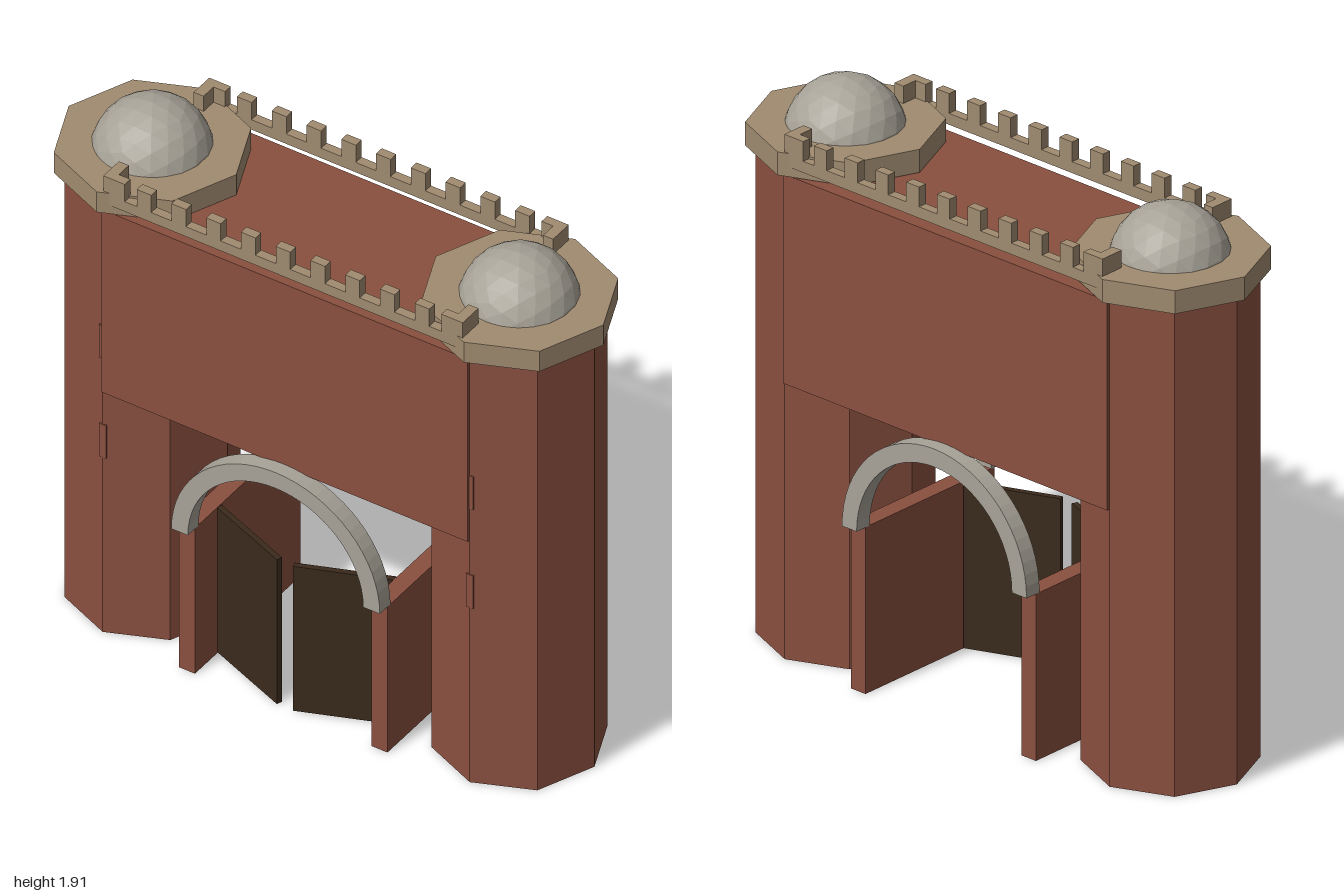
import * as THREE from 'three';

const mat = (color) => new THREE.MeshStandardMaterial({ color, flatShading: true });

export function createModel() {
  const brick = mat(0x8a5040);
  const trim = mat(0xa08b70);
  const stone = mat(0xa8a398);
  const wood = mat(0x3a2a1c);
  const root = new THREE.Group();

  const add = (name, geometry, material, x, y, z, parent = root) => {
    const mesh = new THREE.Mesh(geometry, material);
    mesh.name = name;
    mesh.position.set(x, y, z);
    parent.add(mesh);
    return mesh;
  };
  // Box given by its lower and upper limits on each axis
  const box = (name, material, [x0, x1], [y0, y1], [z0, z1], parent = root) =>
    add(name, new THREE.BoxGeometry(Math.abs(x1 - x0), y1 - y0, Math.abs(z1 - z0)), material,
      (x0 + x1) / 2, (y0 + y1) / 2, (z0 + z1) / 2, parent);

  // Wall spanning the two towers above the gate
  box('gateWall', brick, [-0.685, 0.685], [0.955, 1.677], [-0.29, 0.29]);

  for (const s of [-1, 1]) {
    const side = s > 0 ? 'left' : 'right';

    // Octagonal tower with overhanging cap and dome
    const tower = new THREE.Group();
    tower.name = side + 'Tower';
    tower.position.x = s * 0.6865;
    root.add(tower);
    add('towerShaft', new THREE.CylinderGeometry(0.28, 0.28, 1.68, 8), brick, 0, 0.84, 0, tower);
    add('towerCap', new THREE.CylinderGeometry(0.3135, 0.3135, 0.08, 8), trim, 0, 1.72, 0, tower);
    add('towerDome', new THREE.IcosahedronGeometry(0.196, 3), stone, 0, 1.714, 0, tower);
    // Narrow slits on the front edge of the shaft
    for (const y of [0.755, 1.145]) {
      box('arrowSlit', brick, [-0.013, 0.013], [y - 0.065, y + 0.065], [0.265, 0.281], tower);
    }

    // Passage side wall that carries both arches
    box(side + 'Jamb', brick, [s * 0.33, s * 0.39], [0, 0.575], [-0.297, 0.297]);

    // Door leaf, hinged on the jamb and swung a little forwards
    const hinge = new THREE.Group();
    hinge.name = side + 'Door';
    hinge.position.set(s * 0.33, 0, 0.16);
    hinge.rotation.y = s * 0.37;
    root.add(hinge);
    box('doorLeaf', wood, [0, -s * 0.325], [0.003, 0.573], [-0.01, 0.01], hinge);
  }

  // Half-ring arches on the front and back of the passage
  const ring = new THREE.Shape();
  ring.absarc(0, 0, 0.39, 0, Math.PI, false);
  ring.absarc(0, 0, 0.328, Math.PI, 0, true);
  ring.closePath();
  const archGeometry = new THREE.ExtrudeGeometry(ring, { depth: 0.06, bevelEnabled: false, curveSegments: 16 });
  add('frontArch', archGeometry, stone, 0, 0.575, 0.28);
  add('backArch', archGeometry, stone, 0, 0.575, -0.34);

  // Battlements along the front and back edges of the roof
  for (const f of [-1, 1]) {
    const parapet = new THREE.Group();
    parapet.name = f > 0 ? 'frontParapet' : 'backParapet';
    root.add(parapet);
    const depth = [f * 0.266, f * 0.298];
    box('rail', trim, [-0.672, 0.672], [1.713, 1.752], depth, parapet);
    for (let i = -4; i <= 4; i++) {
      const x = i * 0.13;
      box('merlon', trim, [x - 0.027, x + 0.027], [1.75, 1.82], depth, parapet);
    }
    // L-shaped corner merlons
    for (const s of [-1, 1]) {
      box('cornerMerlon', trim, [s * 0.592, s * 0.672], [1.75, 1.82], depth, parapet);
      box('cornerReturn', trim, [s * 0.635, s * 0.672], [1.75, 1.82], [f * 0.21, f * 0.266], parapet);
    }
  }

  return root;
}
